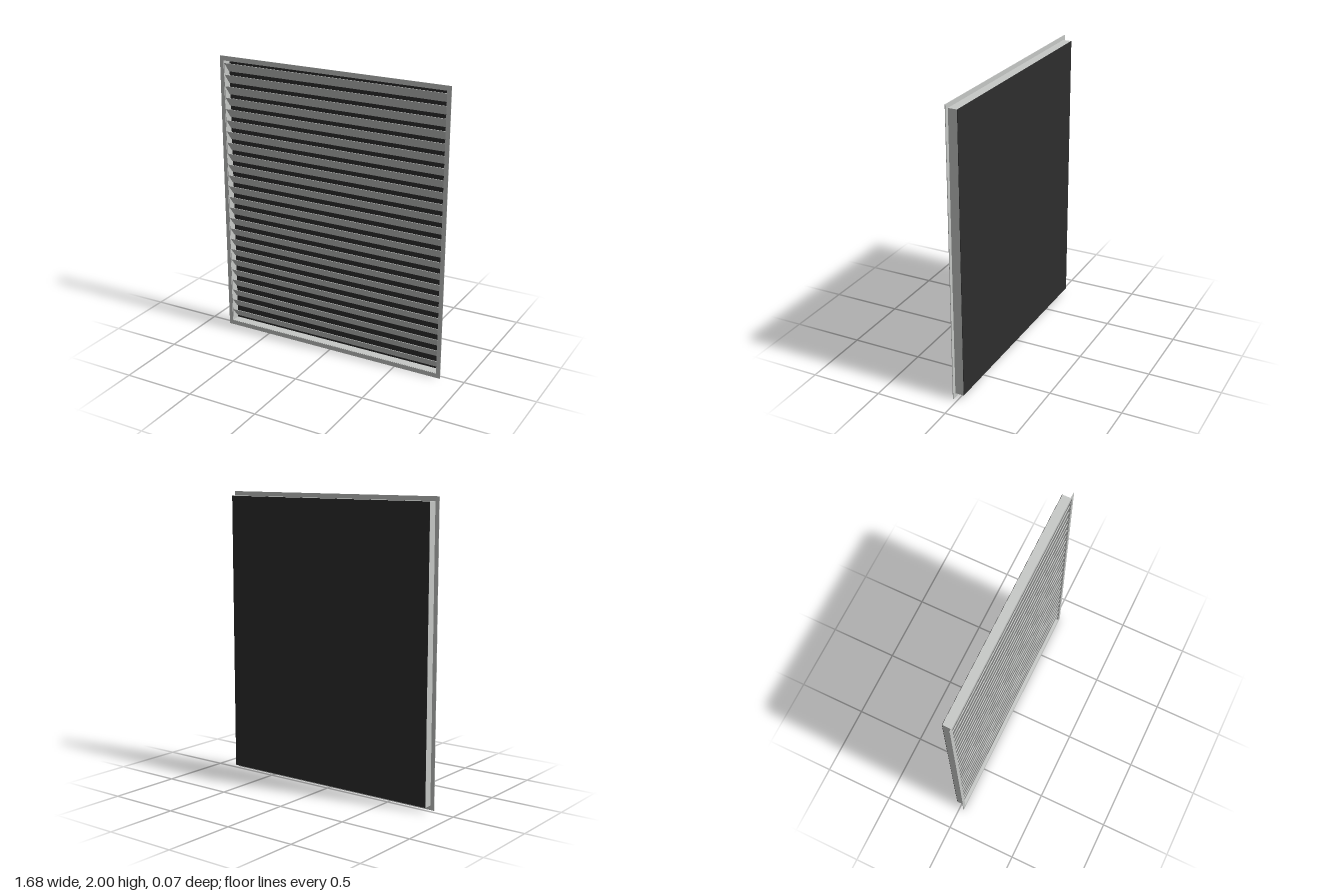
import * as THREE from 'three';

const rect = (C, w, h) => new C([
  new THREE.Vector2(-w, -h), new THREE.Vector2(w, -h),
  new THREE.Vector2(w, h), new THREE.Vector2(-w, h),
]);

// Rectangular ring, centred on y = 1, running from z0 to z1
function ring(w, h, innerW, innerH, z0, z1) {
  const shape = rect(THREE.Shape, w, h);
  shape.holes.push(rect(THREE.Path, innerW, innerH));
  const g = new THREE.ExtrudeGeometry(shape, { depth: z1 - z0, bevelEnabled: false });
  return g.translate(0, 1, z0);
}

export function createModel() {
  const group = new THREE.Group();
  const metal = new THREE.MeshStandardMaterial({ color: 0xc6c8c6 });
  metal.name = 'light grey metal';
  const dark = new THREE.MeshStandardMaterial({ color: 0x2d2d2d });
  dark.name = 'dark backing';

  const add = (name, geometry, material) => {
    const mesh = new THREE.Mesh(geometry, material);
    mesh.name = name;
    group.add(mesh);
    return mesh;
  };

  // Thin front flange and the shallow box behind it
  add('flange', ring(0.84, 1, 0.812, 0.968, 0.029, 0.033), metal);
  add('surround', ring(0.812, 0.97, 0.809, 0.967, -0.031, 0.029), metal);

  // Dark sheet closing the back
  const back = new THREE.BoxGeometry(1.624, 1.94, 0.002);
  add('backPlate', back.translate(0, 1, -0.032), dark);

  // Slats: front edge high, back edge low
  const count = 24, pitch = 0.0796;
  const profile = new THREE.Shape([
    new THREE.Vector2(0.026, 0.0335), new THREE.Vector2(0.021, 0.0335),
    new THREE.Vector2(-0.026, -0.0295), new THREE.Vector2(-0.026, -0.0335),
    new THREE.Vector2(-0.023, -0.0335), new THREE.Vector2(0.026, 0.0305),
  ]);
  const slat = new THREE.ExtrudeGeometry(profile, { depth: 1.618, bevelEnabled: false });
  slat.translate(0, 0, -0.809).rotateY(-Math.PI / 2);
  for (let i = 0; i < count; i++) {
    add('slat', slat, metal).position.y = 1 + (i - (count - 1) / 2) * pitch;
  }
  return group;
}
